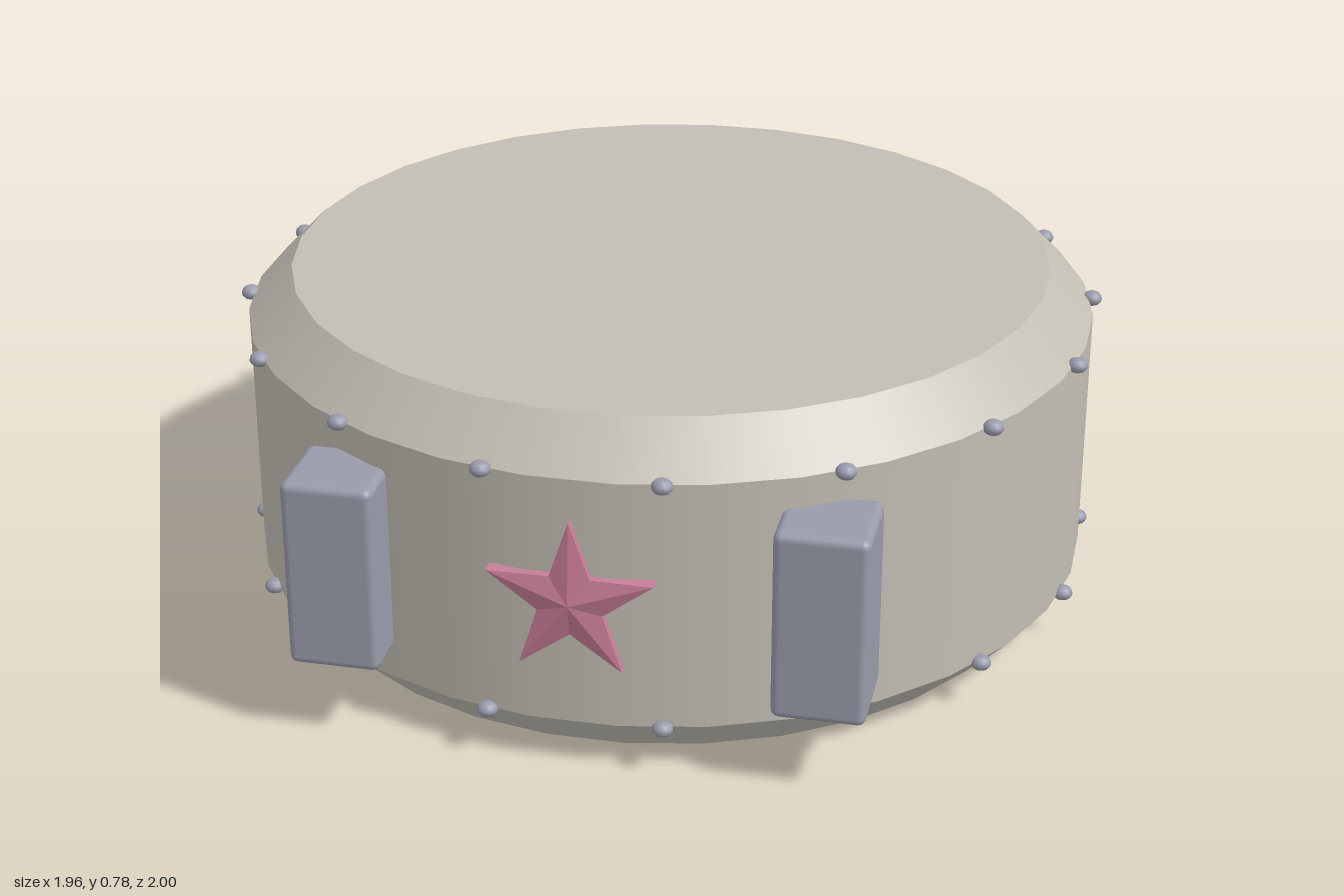
import * as THREE from 'three';
import { RoundedBoxGeometry } from 'three/addons/geometries/RoundedBoxGeometry.js';

const mat = (name, color, extra = {}) => Object.assign(new THREE.MeshStandardMaterial({ color, ...extra }), { name });

export function createModel() {
  const shell = mat('warm grey shell', 0xc2beb4);
  const steel = mat('blue grey steel', 0x999bab);
  const slat = mat('dark grey slat', 0x8c8a80);
  const pink = mat('pink star', 0xc87d97, { flatShading: true });
  const root = new THREE.Group();
  root.name = 'roundDrum';

  const add = (name, geometry, material, x = 0, y = 0, z = 0, parent = root) => {
    const mesh = new THREE.Mesh(geometry, material);
    mesh.name = name;
    mesh.position.set(x, y, z);
    parent.add(mesh);
    return mesh;
  };

  // Drum: straight wall between two chamfers, closed by flat lids
  const R = 0.97, LID = 0.868, SIDES = 32, Y = [0, 0.105, 0.675, 0.78];
  const ring = (name, rTop, rBottom, y0, y1) => {
    const g = new THREE.CylinderGeometry(rTop, rBottom, y1 - y0, SIDES, 1, true).rotateY(Math.PI / SIDES);
    add(name, g, shell, 0, (y0 + y1) / 2, 0);
  };
  ring('lowerChamfer', R, LID, Y[0], Y[1]);
  ring('wall', R, R, Y[1], Y[2]);
  ring('upperChamfer', LID, R, Y[2], Y[3]);
  for (const [name, y, tilt] of [['topLid', Y[3], -1], ['bottomLid', Y[0], 1]]) {
    const g = new THREE.CircleGeometry(LID, SIDES).rotateZ(Math.PI / SIDES).rotateX(tilt * Math.PI / 2);
    add(name, g, shell, 0, y, 0);
  }

  // Rivets along both chamfer edges
  const rivets = new THREE.Group();
  rivets.name = 'rivets';
  root.add(rivets);
  const rivetGeometry = new THREE.SphereGeometry(0.023, 12, 8).scale(1, 0.75, 1);
  for (const y of [Y[1], Y[2]]) {
    for (let i = 0; i < 16; i++) {
      const a = (i + 0.5) * Math.PI / 8;
      add('rivet', rivetGeometry, steel, 0.974 * Math.sin(a), y, 0.974 * Math.cos(a), rivets);
    }
  }

  // Upright blocks on either side of the front
  for (const side of [-1, 1]) {
    add(side > 0 ? 'leftBlock' : 'rightBlock', new RoundedBoxGeometry(0.2, 0.43, 0.2, 2, 0.018),
      steel, side * 0.52, 0.39, 0.88);
  }

  // Vent slats on the back
  for (let i = 0; i < 4; i++) {
    add('ventSlat', new THREE.BoxGeometry(0.38, 0.026, 0.07), slat, 0, 0.262 + i * 0.0857, -0.965);
  }

  // Five-pointed star: straight rim with a faceted, raised front
  const p = [];
  const rim = Array.from({ length: 10 }, (_, i) => {
    const r = i % 2 ? 0.073 : 0.187, a = Math.PI / 2 + i * Math.PI / 5;
    return [r * Math.cos(a), r * Math.sin(a)];
  });
  const back = -0.03, front = 0.03, peak = 0.047;
  rim.forEach(([x0, y0], i) => {
    const [x1, y1] = rim[(i + 1) % 10];
    p.push(0, 0, peak, x0, y0, front, x1, y1, front);
    p.push(x0, y0, front, x0, y0, back, x1, y1, back);
    p.push(x0, y0, front, x1, y1, back, x1, y1, front);
    p.push(0, 0, back, x1, y1, back, x0, y0, back);
  });
  const starGeometry = new THREE.BufferGeometry();
  starGeometry.setAttribute('position', new THREE.Float32BufferAttribute(p, 3));
  starGeometry.computeVertexNormals();
  add('star', starGeometry, pink, 0, 0.398, 0.953);

  return root;
}
